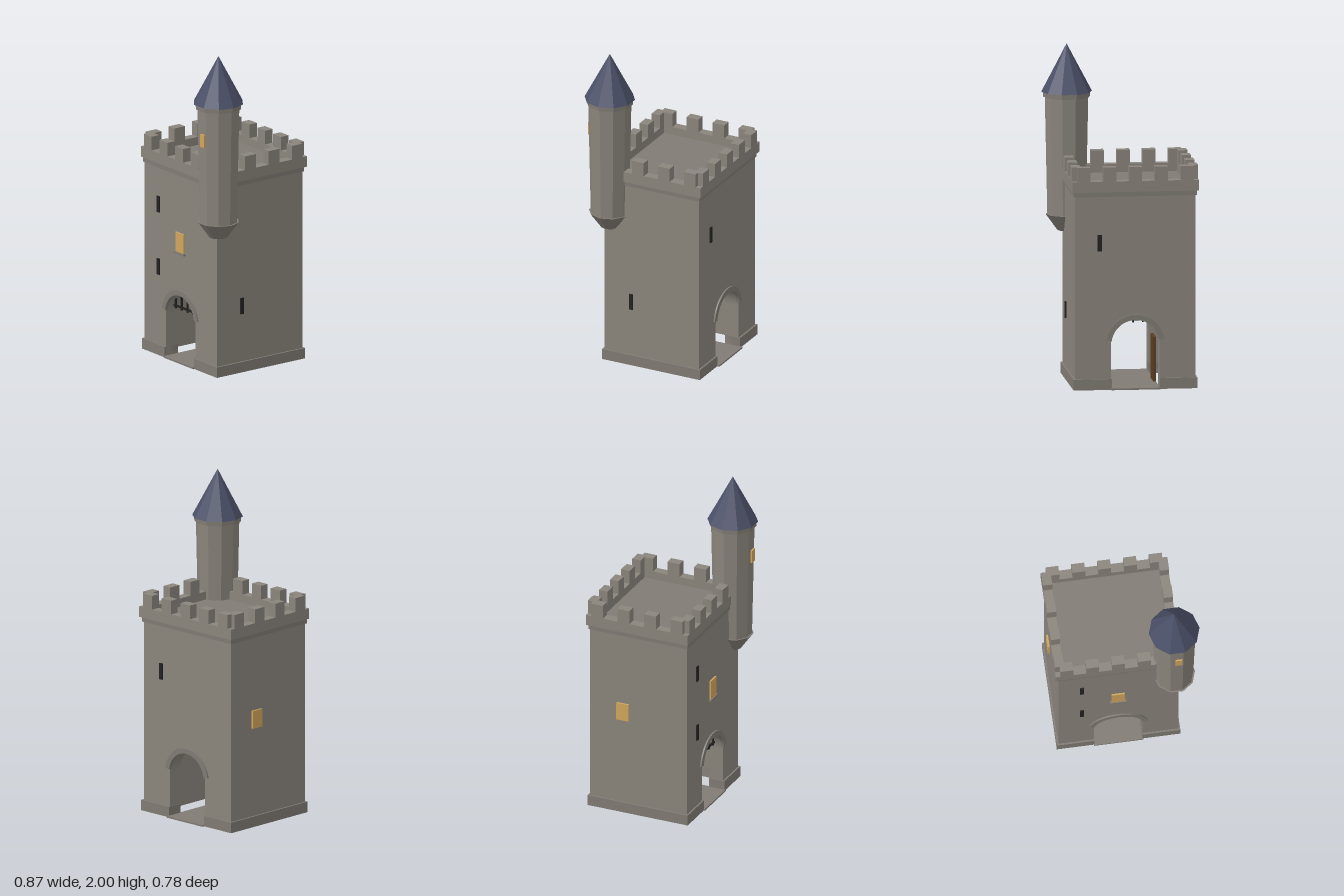
import * as THREE from 'three';

const paint = (color) => new THREE.MeshStandardMaterial({ color, flatShading: true });

export function createModel() {
  const model = new THREE.Group();
  const stone = paint(0x8a857c), trim = paint(0x807b73), roofBlue = paint(0x4a5068);
  const glow = paint(0xd0a55c), dark = paint(0x222222), wood = paint(0x5a3d22);

  const add = (name, geometry, material, parent = model) => {
    const mesh = new THREE.Mesh(geometry, material);
    mesh.name = name;
    parent.add(mesh);
    return mesh;
  };
  // Box given by its lower and upper limits on each axis
  const box = (name, x0, x1, y0, y1, z0, z1, material, parent) => add(name,
    new THREE.BoxGeometry(x1 - x0, y1 - y0, z1 - z0)
      .translate((x0 + x1) / 2, (y0 + y1) / 2, (z0 + z1) / 2), material, parent);
  const group = (name) => {
    const g = new THREE.Group();
    g.name = name;
    model.add(g);
    return g;
  };
  // Rectangular ring of wall thickness t, rising from y0 to y1
  const ring = (name, x0, x1, z0, z1, t, y0, y1, material) => {
    const rect = (a, b, c, d) => [[a, c], [b, c], [b, d], [a, d]].map((p) => new THREE.Vector2(...p));
    const shape = new THREE.Shape(rect(x0, x1, -z1, -z0));
    shape.holes.push(new THREE.Path(rect(x0 + t, x1 - t, -z1 + t, -z0 - t).reverse()));
    const g = new THREE.ExtrudeGeometry(shape, { depth: y1 - y0, bevelEnabled: false });
    return add(name, g.rotateX(-Math.PI / 2).translate(0, y0, 0), material);
  };

  // Keep limits and gateway measures
  const X0 = -0.42, X1 = 0.304, Z0 = -0.368, Z1 = 0.27, T = 0.09;
  const gateX = -0.058, gateR = 0.146, spring = 0.275;

  // Front and back walls with an arched gateway, and plain side walls
  const wall = new THREE.Shape();
  wall.moveTo(X0, 0);
  wall.lineTo(gateX - gateR, 0);
  wall.lineTo(gateX - gateR, spring);
  wall.absarc(gateX, spring, gateR, Math.PI, 0, true);
  wall.lineTo(gateX + gateR, 0);
  wall.lineTo(X1, 0);
  wall.lineTo(X1, 1.2);
  wall.lineTo(X0, 1.2);
  const wallGeometry = new THREE.ExtrudeGeometry(wall, { depth: T, bevelEnabled: false, curveSegments: 16 });
  add('frontWall', wallGeometry, stone).position.z = Z1 - T;
  add('backWall', wallGeometry, stone).position.z = Z0;
  box('leftWall', X1 - T, X1, 0, 1.2, Z0 + T, Z1 - T, stone);
  box('rightWall', X0, X0 + T, 0, 1.2, Z0 + T, Z1 - T, stone);

  // Plinth, broken at the gateways, and the threshold slab
  const plinth = group('plinth');
  const p = 0.011, ph = 0.065;
  for (const [z0, z1] of [[Z0 - p, Z0 + T], [Z1 - T, Z1 + p]]) {
    box('plinthRight', X0 - p, gateX - gateR, 0, ph, z0, z1, trim, plinth);
    box('plinthLeft', gateX + gateR - 0.003, X1 + p, 0, ph, z0, z1, trim, plinth);
  }
  box('plinthSideRight', X0 - p, X0 + T, 0, ph, Z0 + T, Z1 - T, trim, plinth);
  box('plinthSideLeft', X1 - T, X1 + p, 0, ph, Z0 + T, Z1 - T, trim, plinth);
  box('threshold', gateX - 0.148, gateX + 0.148, 0, 0.01, Z0 - 0.026, Z1 + 0.019, trim);

  // Arch stones around both gateways
  const stones = 9, a0 = 0.15, step = (Math.PI - 2 * a0) / stones;
  for (const [name, z] of [['frontArch', Z1 - 0.01], ['backArch', Z0 - 0.01]]) {
    const arch = group(name);
    for (let i = 0; i < stones; i++) {
      const a = a0 + i * step, b = a + step;
      const s = new THREE.Shape();
      s.absarc(0, 0, gateR + 0.031, a, b, false);
      s.absarc(0, 0, gateR - 0.001, b, a, true);
      const g = new THREE.ExtrudeGeometry(s, { depth: 0.02, bevelEnabled: false, curveSegments: 2 });
      add('archStone', g.translate(gateX, spring, z), trim, arch);
    }
  }

  // Raised portcullis in the front gateway
  const portcullis = group('portcullis');
  for (let i = -2; i <= 2; i++) {
    const x = gateX + i * 0.058;
    box('verticalBar', x - 0.005, x + 0.005, 0.305, 0.43, 0.215, 0.225, dark, portcullis);
  }
  box('crossBar', gateX - 0.13, gateX + 0.13, 0.317, 0.327, 0.214, 0.226, dark, portcullis);

  // Open door leaf inside the passage
  box('door', -0.207, -0.19, 0.01, 0.28, -0.17, -0.03, wood);

  // Corbel band, parapet and flat roof
  const PX0 = -0.438, PX1 = 0.323, PZ0 = -0.388, PZ1 = 0.283, PT = 0.056;
  ring('corbelBand', X0 - 0.007, X1 + 0.007, Z0 - 0.007, Z1 + 0.007, 0.06, 1.17, 1.2, trim);
  ring('parapet', PX0, PX1, PZ0, PZ1, PT, 1.2, 1.265, stone);
  box('roofDeck', PX0 + 0.04, PX1 - 0.04, 1.18, 1.215, PZ0 + 0.04, PZ1 - 0.04, trim);

  // Merlons: five along front and back, four along each side
  const merlons = group('merlons');
  for (let i = 0; i < 5; i++) {
    const x = -0.37 + i * 0.156;
    for (const z of [PZ0, PZ1 - PT]) box('merlon', x - 0.039, x + 0.039, 1.265, 1.35, z, z + PT, stone, merlons);
  }
  for (let i = 0; i < 4; i++) {
    const z = -0.315 + i * 0.175;
    for (const x of [PX0, PX1 - PT]) box('merlon', x, x + PT, 1.265, 1.35, z - 0.04, z + 0.04, stone, merlons);
  }

  // Lit windows and arrow slits
  box('frontWindow', -0.1, -0.02, 0.69, 0.812, Z1 - 0.01, Z1 + 0.01, glow);
  box('windowSill', -0.11, -0.01, 0.68, 0.692, Z1 - 0.01, Z1 + 0.016, trim);
  box('sideWindow', X0 - 0.012, X0 + 0.01, 0.61, 0.72, -0.19, -0.11, glow);
  for (const y of [0.5, 0.89]) box('frontSlit', -0.289, -0.265, y, y + 0.1, Z1 - 0.01, Z1 + 0.007, dark);
  box('leftSlit', X1 - 0.01, X1 + 0.008, 0.363, 0.463, 0.076, 0.1, dark);
  box('backSlit', 0.145, 0.169, 0.84, 0.94, Z0 - 0.008, Z0 + 0.01, dark);

  // Ten-sided corner turret with corbelled foot, collar and cone roof
  const turret = group('turret');
  turret.position.set(0.282, 0, 0.245);
  const drum = (name, top, bottom, y0, y1, material) => add(name,
    new THREE.CylinderGeometry(top, bottom, y1 - y0, 10)
      .rotateY(Math.PI / 2).translate(0, (y0 + y1) / 2, 0), material, turret);
  drum('turretFoot', 0.126, 0.055, 0.87, 0.968, trim);
  drum('turretShaft', 0.131, 0.116, 0.968, 1.68, stone);
  drum('turretCollar', 0.142, 0.142, 1.68, 1.71, trim);
  drum('turretRoof', 0, 0.153, 1.71, 2, roofBlue);
  box('turretWindow', -0.008, 0.032, 1.455, 1.535, 0.1, 0.131, glow, turret);

  return model;
}
